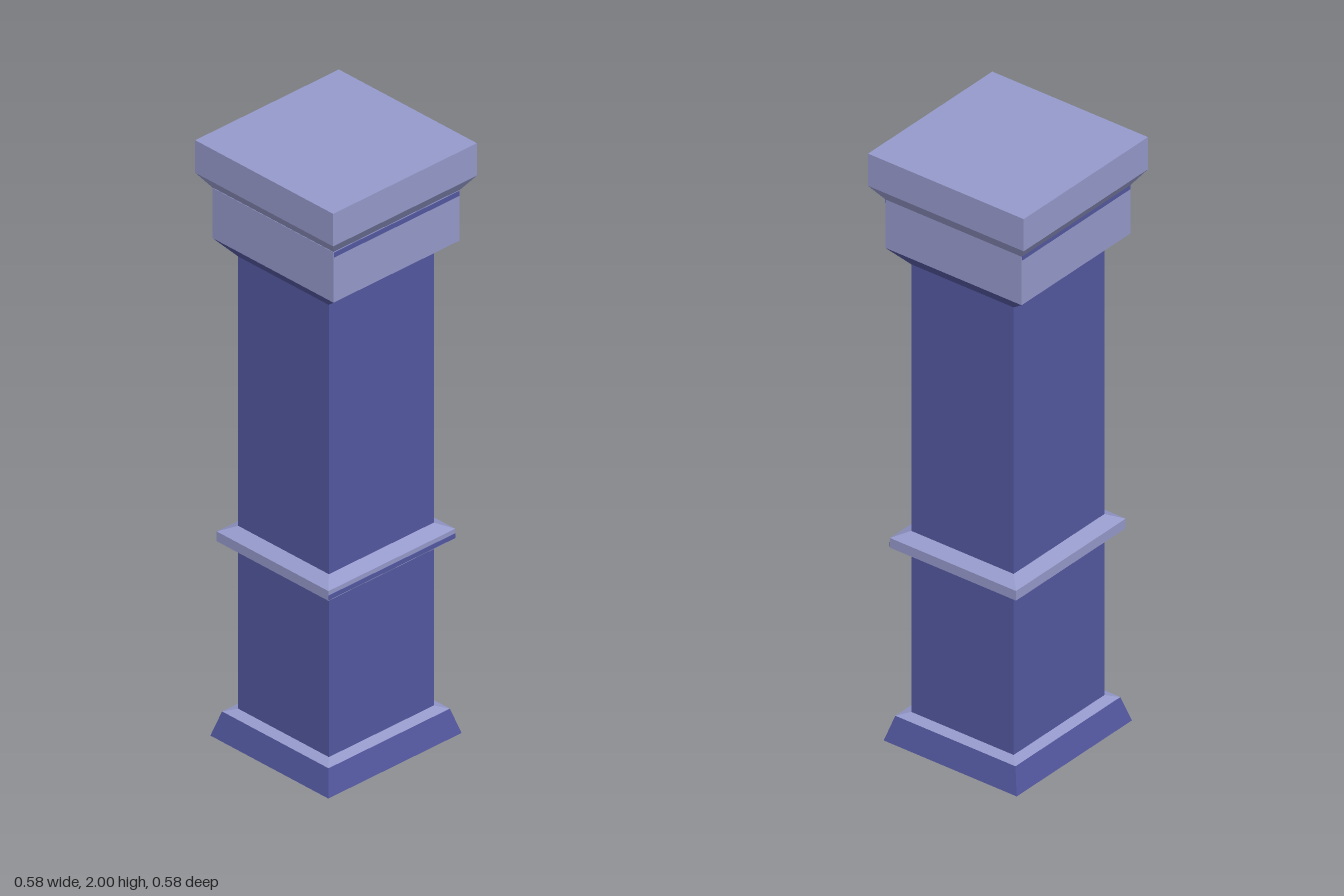
import * as THREE from 'three';

const paleLavender = new THREE.MeshStandardMaterial({ name: 'paleLavender', color: 0x9599ca });
const deepBlue = new THREE.MeshStandardMaterial({ name: 'deepBlue', color: 0x52579e });

// Half sizes [x, z] of the cross-sections
const SHAFT = [0.211, 0.19];
const FOOT = [0.268, 0.247];
const LEDGE = [0.244, 0.223];
const RING = [0.255, 0.234];
const BLOCK = [0.253, 0.253];
const CAP = [0.289, 0.289];

// Four-sided block whose section changes from bottom to top
function taper(name, material, y0, y1, bottom, top = bottom) {
  const geometry = new THREE.BoxGeometry(2, 1, 2).toNonIndexed();
  const p = geometry.attributes.position;
  for (let i = 0; i < p.count; i++) {
    const upper = p.getY(i) > 0;
    const half = upper ? top : bottom;
    p.setXYZ(i, Math.sign(p.getX(i)) * half[0], upper ? y1 : y0, Math.sign(p.getZ(i)) * half[1]);
  }
  geometry.computeVertexNormals();
  const mesh = new THREE.Mesh(geometry, material);
  mesh.name = name;
  return mesh;
}

// Thin painted line on the front or back of a block
function stripe(name, half, side, y0, y1) {
  const mesh = new THREE.Mesh(new THREE.BoxGeometry(half[0] * 1.99, y1 - y0, 0.004), deepBlue);
  mesh.name = name;
  mesh.position.set(0, (y0 + y1) / 2, side * half[1]);
  return mesh;
}

export function createModel() {
  const model = new THREE.Group();
  model.name = 'squareColumn';

  // Everything below the cap sits slightly off centre
  const body = new THREE.Group();
  body.name = 'columnBody';
  body.position.set(-0.003, 0, 0.003);
  body.add(
    // Foot
    taper('foot', deepBlue, 0, 0.082, FOOT, LEDGE),
    taper('footLedge', paleLavender, 0.082, 0.092, LEDGE, SHAFT),
    // Shaft
    taper('shaft', deepBlue, 0.05, 1.65, SHAFT),
    // Ring moulding
    taper('ringUnderside', deepBlue, 0.635, 0.657, SHAFT, RING),
    taper('ringEdge', paleLavender, 0.657, 0.69, RING),
    taper('ringTop', paleLavender, 0.69, 0.71, RING, SHAFT),
    stripe('ringStripe', RING, 1, 0.66, 0.675),
    // Capital
    taper('capitalUnderside', deepBlue, 1.62, 1.672, SHAFT, BLOCK),
    taper('capitalBlock', paleLavender, 1.672, 1.842, BLOCK)
  );
  for (const side of [1, -1]) body.add(stripe('capitalStripe', BLOCK, side, 1.825, 1.841));
  model.add(body);

  // Cap slab
  model.add(
    taper('capUnderside', paleLavender, 1.84, 1.89, BLOCK, CAP),
    taper('capSlab', paleLavender, 1.89, 2, CAP)
  );
  return model;
}
